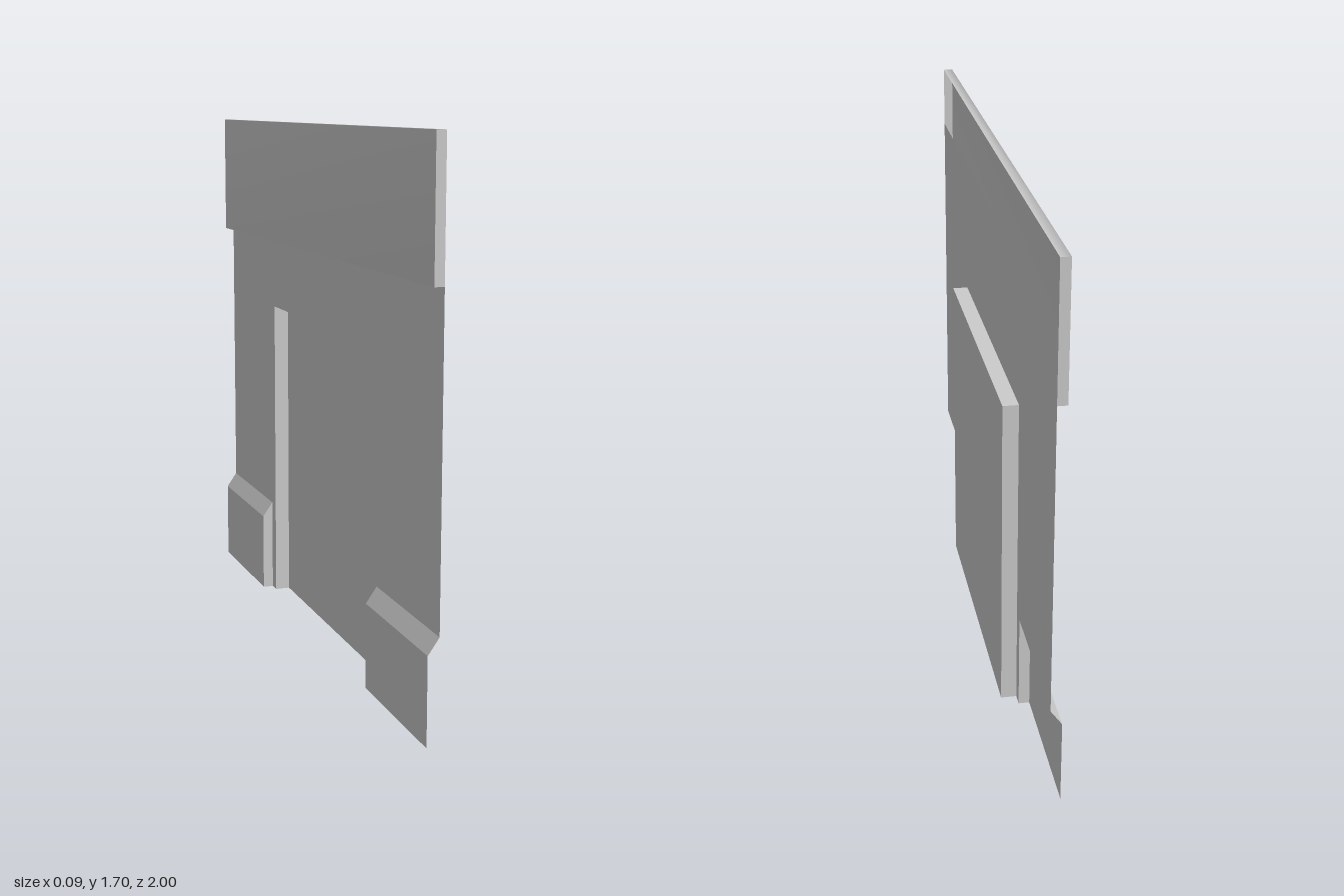
import * as THREE from 'three';

const WALL_X = -0.01, NICHE_X = 0.04, BASE_X = -0.045, CROWN_X = -0.04;
const NICHE_Z = 0.485, NICHE_TOP = 1.05, BASE_Z = 0.525, BASE_TOP = 0.32;

export function createModel() {
  const group = new THREE.Group();
  const material = new THREE.MeshStandardMaterial({ color: 0xcccccc, side: THREE.DoubleSide });

  const add = (name, geometry, parent = group) => {
    const mesh = new THREE.Mesh(geometry, material);
    mesh.name = name;
    parent.add(mesh);
    return mesh;
  };

  // Flat outline from [x, y] points
  const outline = (pts) =>
    new THREE.ShapeGeometry(new THREE.Shape(pts.map(([x, y]) => new THREE.Vector2(x, y))));

  // Outline given as [z, y], standing at a given x and facing -x
  const facing = (pts, x) => outline(pts).rotateY(-Math.PI / 2).translate(x, 0, 0);

  // Outline given as [x, y], closing a moulding at a given z; side is the facing direction
  const cap = (pts, z, side) => {
    const g = outline(pts);
    if (side < 0) g.scale(-1, 1, 1).rotateY(Math.PI);
    return g.translate(0, 0, z);
  };

  // Open [x, y] profile, listed bottom to top, swept along z
  const sweep = (profile, z0, z1, smooth = false) => {
    const positions = [], index = [];
    profile.forEach(([x, y], i) => {
      positions.push(x, y, z0, x, y, z1);
      if (i === 0) return;
      const a = 2 * i - 2;
      index.push(a, a + 1, a + 3, a, a + 3, a + 2);
    });
    let g = new THREE.BufferGeometry();
    g.setAttribute('position', new THREE.Float32BufferAttribute(positions, 3));
    g.setIndex(index);
    if (!smooth) g = g.toNonIndexed();
    g.computeVertexNormals();
    return g;
  };

  // Wall sheet, cut out for the doorway and the baseboards
  const half = [
    [NICHE_Z, NICHE_TOP], [NICHE_Z, 0], [BASE_Z, 0],
    [BASE_Z, BASE_TOP], [1, BASE_TOP], [1, 1.5],
  ];
  const mirrored = half.map(([z, y]) => [-z, y]).reverse();
  add('wall', facing([...half, ...mirrored], WALL_X));

  // Recessed doorway: back panel, top and two jambs, open below
  const doorway = new THREE.Group();
  doorway.name = 'doorway';
  group.add(doorway);
  add('doorPanel', facing([[-NICHE_Z, 0], [NICHE_Z, 0], [NICHE_Z, NICHE_TOP], [-NICHE_Z, NICHE_TOP]], NICHE_X), doorway);
  add('doorwayTop', sweep([[NICHE_X, NICHE_TOP], [WALL_X, NICHE_TOP]], -NICHE_Z, NICHE_Z), doorway);
  const jamb = [[WALL_X, 0], [NICHE_X, 0], [NICHE_X, NICHE_TOP], [WALL_X, NICHE_TOP]];
  for (const side of [-1, 1]) add('doorJamb', cap(jamb, side * NICHE_Z, -side), doorway);

  // Baseboards with a bevelled top, closed only beside the doorway
  const base = [[BASE_X, 0], [BASE_X, 0.27], [WALL_X, BASE_TOP]];
  for (const side of [-1, 1]) {
    const board = new THREE.Group();
    board.name = side > 0 ? 'frontBaseboard' : 'backBaseboard';
    group.add(board);
    const ends = [side * BASE_Z, side].sort((a, b) => a - b);
    add('baseboardFace', sweep(base, ...ends), board);
    add('baseboardEnd', cap([[WALL_X, 0], ...base], side * BASE_Z, -side), board);
  }

  // Top trim: softly shaded band, open behind, with flat ends
  const trim = [[WALL_X, 1.29], [CROWN_X, 1.29], [CROWN_X, 1.7], [WALL_X, 1.7]];
  const topTrim = new THREE.Group();
  topTrim.name = 'topTrim';
  group.add(topTrim);
  add('trimFace', sweep(trim, -1, 1, true), topTrim);
  for (const side of [-1, 1]) add('trimEnd', cap(trim, side, side), topTrim);

  return group;
}
